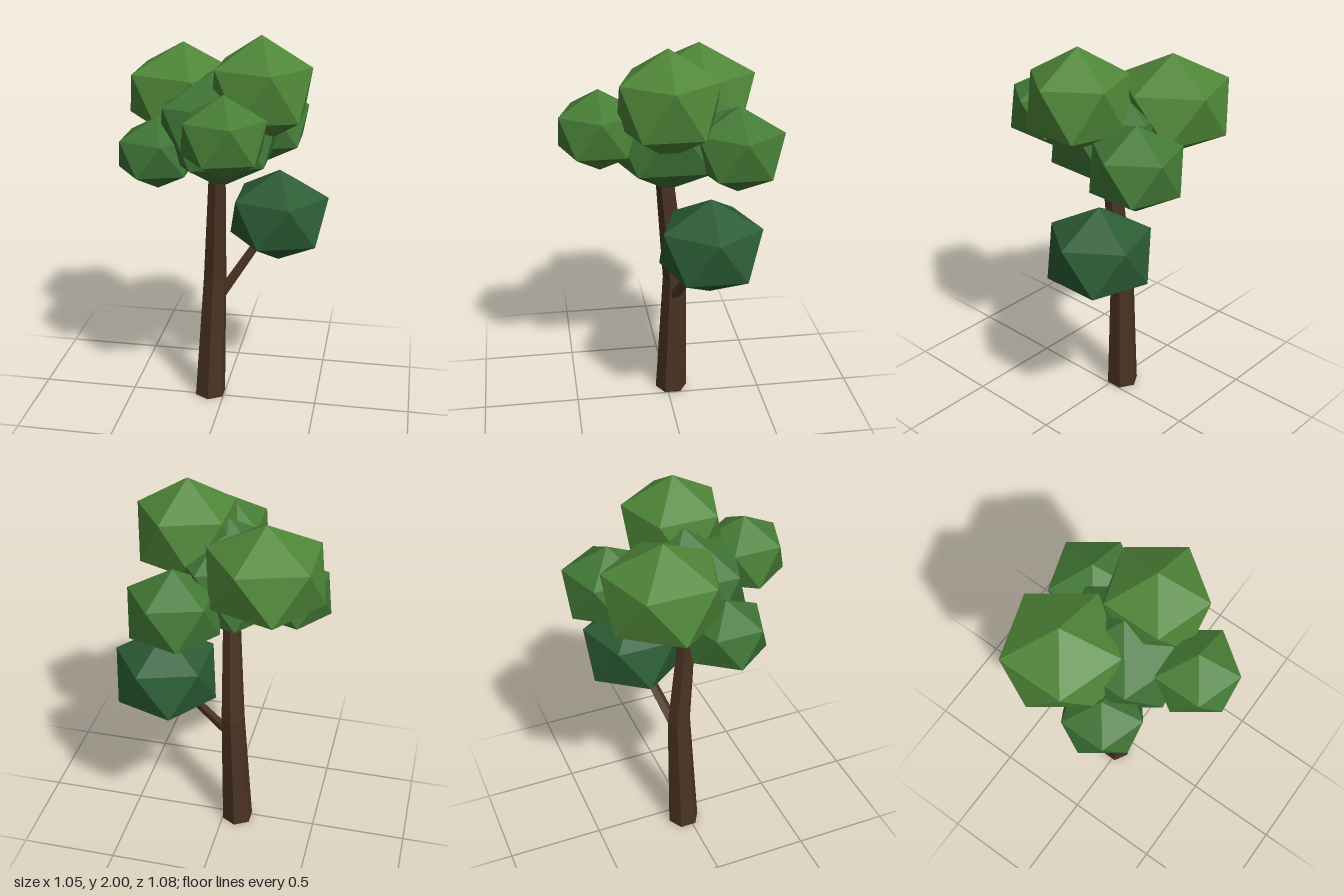
import * as THREE from 'three';

const bark = new THREE.MeshStandardMaterial({ color: 0x4a3322, flatShading: true });

// Six-sided limb through a few stations [x, y, z, radius], capped at both ends
function limb(name, stations, sides) {
  const n = stations.length - 1;
  const geo = new THREE.CylinderGeometry(1, 1, n, sides, n);
  const pos = geo.attributes.position;
  for (let i = 0; i < pos.count; i++) {
    const [x, y, z, r] = stations[Math.round(pos.getY(i) + n / 2)];
    pos.setXYZ(i, x + pos.getX(i) * r, y, z + pos.getZ(i) * r);
  }
  geo.computeVertexNormals();
  const mesh = new THREE.Mesh(geo, bark);
  mesh.name = name;
  return mesh;
}

// Leaf clump: icosahedron standing on a vertex, with one upper ring vertex towards +x
function clump(name, x, y, z, width, height, color) {
  const geo = new THREE.IcosahedronGeometry(1, 0);
  geo.rotateZ(-Math.atan(2 / (1 + Math.sqrt(5))));
  geo.scale(width, height, width);
  const mesh = new THREE.Mesh(geo, new THREE.MeshStandardMaterial({ color, flatShading: true }));
  mesh.position.set(x, y, z);
  mesh.name = name;
  return mesh;
}

export function createModel() {
  const tree = new THREE.Group();
  tree.name = 'tree';

  // Bent trunk and its one side branch
  tree.add(limb('trunk', [
    [-0.077, 0.005, -0.025, 0.085],
    [-0.052, 0.7, -0.04, 0.063],
    [-0.025, 1.4, 0.03, 0.042],
  ], 6));
  tree.add(limb('branch', [
    [-0.02, 0.6, -0.035, 0.033],
    [0.2, 0.93, -0.15, 0.026],
  ], 5));

  // Crown: x, y, z, horizontal radius, vertical radius, colour
  const clumps = [
    ['crownCore', -0.02, 1.52, 0, 0.345, 0.31, 0x3f7435],
    ['topLeftClump', 0.19, 1.73, 0.03, 0.28, 0.27, 0x4f8638],
    ['topRightClump', -0.24, 1.65, -0.19, 0.32, 0.26, 0x4f8638],
    ['backClump', 0.17, 1.48, -0.32, 0.25, 0.22, 0x437a36],
    ['frontClump', 0.06, 1.575, 0.35, 0.23, 0.205, 0x477e36],
    ['sideClump', -0.32, 1.405, 0.09, 0.222, 0.185, 0x3f7435],
    ['branchClump', 0.265, 1.015, -0.17, 0.288, 0.25, 0x2b5c34],
  ];
  for (const c of clumps) tree.add(clump(...c));
  return tree;
}
